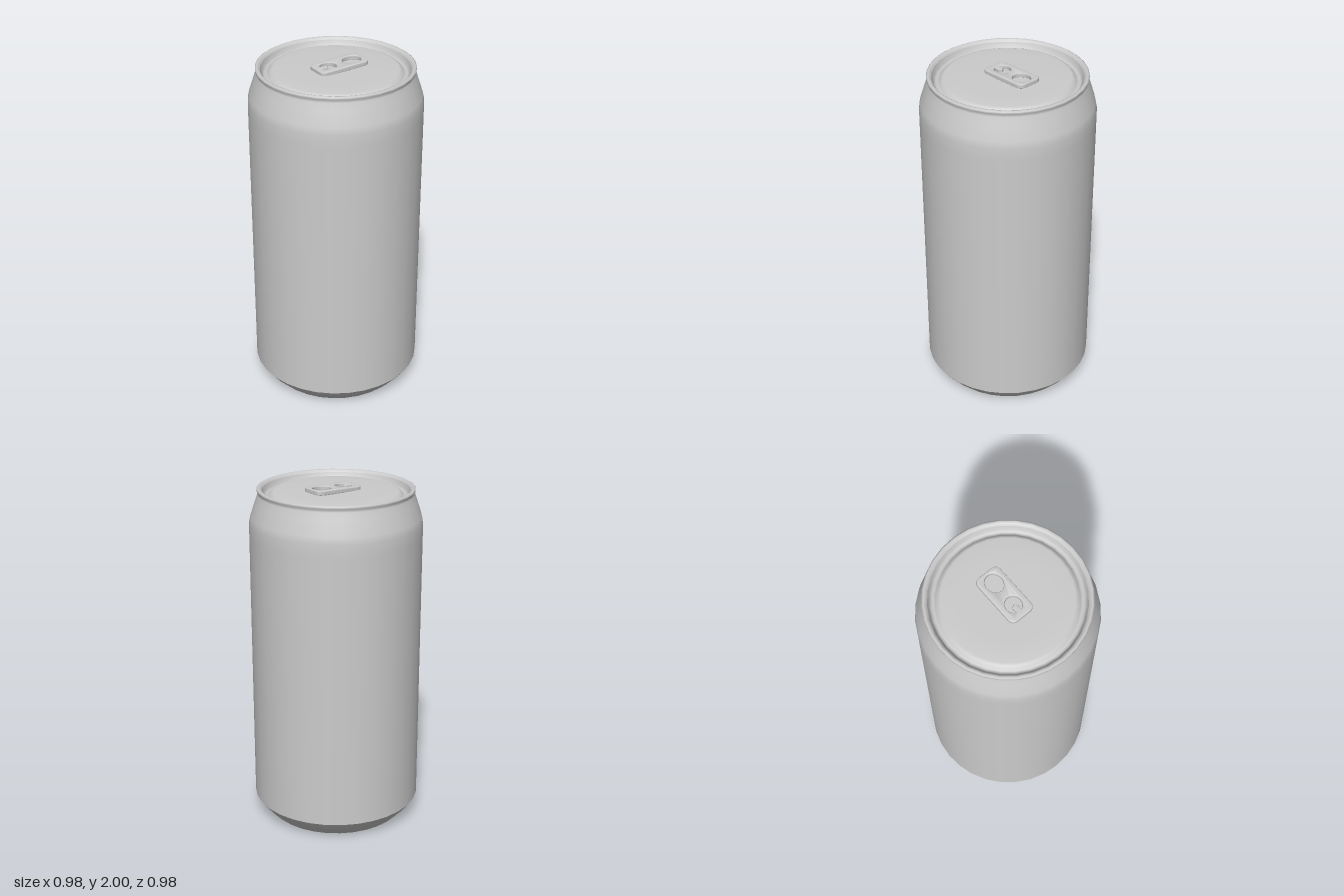
import * as THREE from 'three';
import { toCreasedNormals } from 'three/addons/utils/BufferGeometryUtils.js';

const SIDES = 32;

export function createModel() {
  const can = new THREE.Group();
  can.name = 'drinkCan';
  const metal = new THREE.MeshStandardMaterial({ color: 0xcccccc });

  const add = (name, geometry) => {
    const mesh = new THREE.Mesh(geometry, metal);
    mesh.name = name;
    can.add(mesh);
    return mesh;
  };
  // Profiles run [radius, height], from the bottom centre round to the top centre
  const lathe = (name, profile) =>
    add(name, new THREE.LatheGeometry(profile.map(([r, y]) => new THREE.Vector2(r, y)), SIDES));

  // Concave dome underneath
  lathe('baseDome', [[0, 0.1], [0.12, 0.094], [0.23, 0.077], [0.31, 0.053], [0.36, 0.027], [0.385, 0.004], [0.392, 0]]);

  // Sloping foot with its standing ring
  lathe('foot', [[0.392, 0], [0.4, 0.004], [0.41, 0.013], [0.45, 0.056], [0.492, 0.11]]);

  // Wall, tapered neck and rolled rim
  lathe('body', [
    [0.492, 0.11], [0.492, 0.6], [0.492, 1.2], [0.492, 1.72], [0.492, 1.79], [0.484, 1.83],
    [0.456, 1.915], [0.442, 1.955], [0.44, 1.966], [0.446, 1.974], [0.446, 1.985], [0.437, 1.99],
    [0.426, 1.987], [0.417, 1.975],
  ]);

  // Lid: wall down to a groove, then up to the raised panel
  lathe('lid', [
    [0.417, 1.975], [0.408, 1.95], [0.398, 1.94], [0.386, 1.939], [0.376, 1.947],
    [0.365, 1.961], [0.35, 1.967], [0.25, 1.97], [0, 1.97],
  ]);

  // Pull tab: rounded plate with a finger hole and a C-shaped hole round a tongue
  const w = 0.155, h = 0.077, c = 0.04;
  const plate = new THREE.Shape();
  plate.moveTo(-w + c, -h);
  plate.lineTo(w - c, -h);
  plate.quadraticCurveTo(w, -h, w, -h + c);
  plate.lineTo(w, h - c);
  plate.quadraticCurveTo(w, h, w - c, h);
  plate.lineTo(-w + c, h);
  plate.quadraticCurveTo(-w, h, -w, h - c);
  plate.lineTo(-w, -h + c);
  plate.quadraticCurveTo(-w, -h, -w + c, -h);

  const fingerHole = new THREE.Path();
  fingerHole.absellipse(0.08, 0, 0.055, 0.047, 0, Math.PI * 2, true);

  const tongueHole = new THREE.Path();
  tongueHole.moveTo(-0.115, 0.035);
  tongueHole.absellipse(-0.072, 0, 0.047, 0.045, Math.PI * 0.85, -Math.PI * 0.85, true);
  for (const [x, y] of [[-0.115, -0.017], [-0.085, -0.018], [-0.072, 0], [-0.085, 0.018], [-0.115, 0.017]]) {
    tongueHole.lineTo(x, y);
  }
  tongueHole.closePath();
  plate.holes.push(fingerHole, tongueHole);

  const tabGeometry = new THREE.ExtrudeGeometry(plate, {
    depth: 0.013, bevelThickness: 0.006, bevelSize: 0.007, bevelOffset: -0.007, bevelSegments: 3, curveSegments: 12,
  });
  tabGeometry.translate(0, 0, -0.0065).rotateX(-Math.PI / 2);
  const tab = add('pullTab', toCreasedNormals(tabGeometry, 0.9));
  tab.position.set(0.025, 1.982, -0.004);
  tab.rotation.set(0, 0.015, 0.038);

  return can;
}
